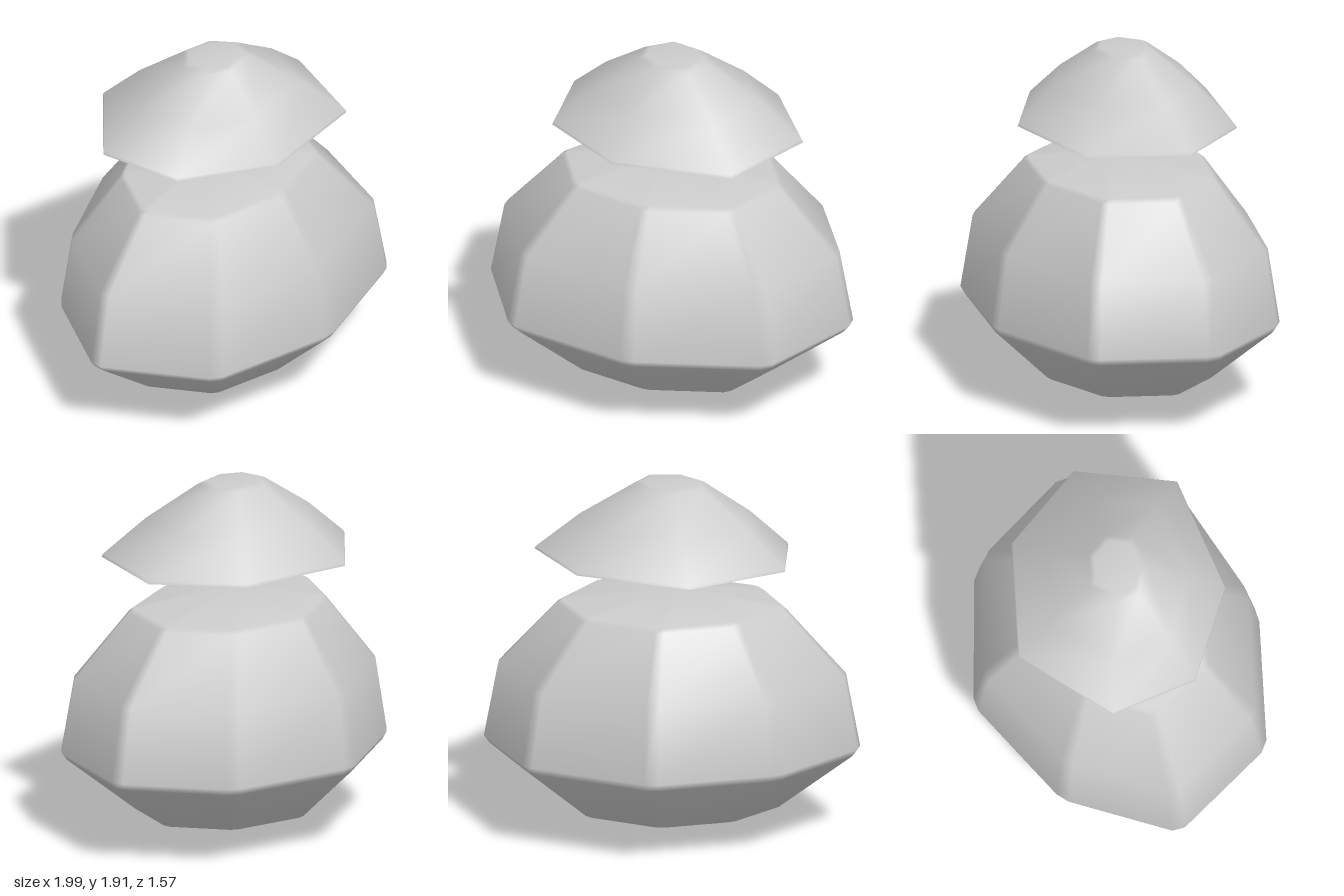
import * as THREE from 'three';

const material = new THREE.MeshStandardMaterial({ color: 0xcccccc });

// Cut every corner of an outline to a narrow chamfer
function chamfer(points, width) {
  const out = [];
  points.forEach(([x, z], i) => {
    const n = points.length;
    for (const [px, pz] of [points[(i + n - 1) % n], points[(i + 1) % n]]) {
      const t = width / Math.hypot(px - x, pz - z);
      out.push([x + (px - x) * t, z + (pz - z) * t]);
    }
  });
  return out;
}

// Stack scaled copies of an outline ([y, scale]) and close with optional tips
function stack(outline, rings, bottomTip, topTip) {
  const n = outline.length, pos = [], index = [];
  for (const [y, s] of rings) for (const [x, z] of outline) pos.push(x * s, y, z * s);
  for (let r = 0; r < rings.length - 1; r++) {
    for (let i = 0; i < n; i++) {
      const a = r * n + i, b = r * n + (i + 1) % n;
      index.push(a, b, b + n, a, b + n, a + n);
    }
  }
  const cap = (tip, start, up) => {
    const c = pos.length / 3;
    pos.push(...tip);
    for (let i = 0; i < n; i++) {
      const a = start + i, b = start + (i + 1) % n;
      index.push(...(up ? [a, b, c] : [b, a, c]));
    }
  };
  if (bottomTip) cap(bottomTip, 0, false);
  if (topTip) cap(topTip, (rings.length - 1) * n, true);
  const geo = new THREE.BufferGeometry();
  geo.setAttribute('position', new THREE.Float32BufferAttribute(pos, 3));
  geo.setIndex(index);
  geo.computeVertexNormals();
  return geo;
}

export function createModel() {
  const group = new THREE.Group();
  const add = (name, geo) => {
    const mesh = new THREE.Mesh(geo, material);
    mesh.name = name;
    group.add(mesh);
  };

  // Wide eight-sided boulder, pointed slightly above and below
  const boulder = chamfer([
    [1.015, 0], [0.71, -0.56], [0.01, -0.8], [-0.64, -0.53],
    [-1.015, 0], [-0.71, 0.59], [0.01, 0.79], [0.74, 0.6],
  ], 0.04);
  add('boulder', stack(boulder, [
    [0.14, 0.575], [0.44, 0.97], [0.48, 1], [0.88, 0.925], [1.225, 0.61], [1.245, 0.58],
  ], [0.07, 0, 0.05], [-0.05, 1.325, 0.02]));

  // Seven-sided stone cap floating above, with a flat underside
  const cap = [
    [0.73, 0], [0.45, -0.44], [-0.17, -0.61], [-0.63, -0.24],
    [-0.59, 0.23], [-0.15, 0.55], [0.5, 0.5],
  ];
  add('capStone', stack(cap, [
    [1.515, 1], [1.53, 0.99], [1.72, 0.67], [1.9, 0.275], [1.915, 0.22],
  ], null, [0.01, 1.915, 0]));
  add('capUnderside', stack(cap, [[1.515, 1]], [0, 1.52, 0], null));

  return group;
}
